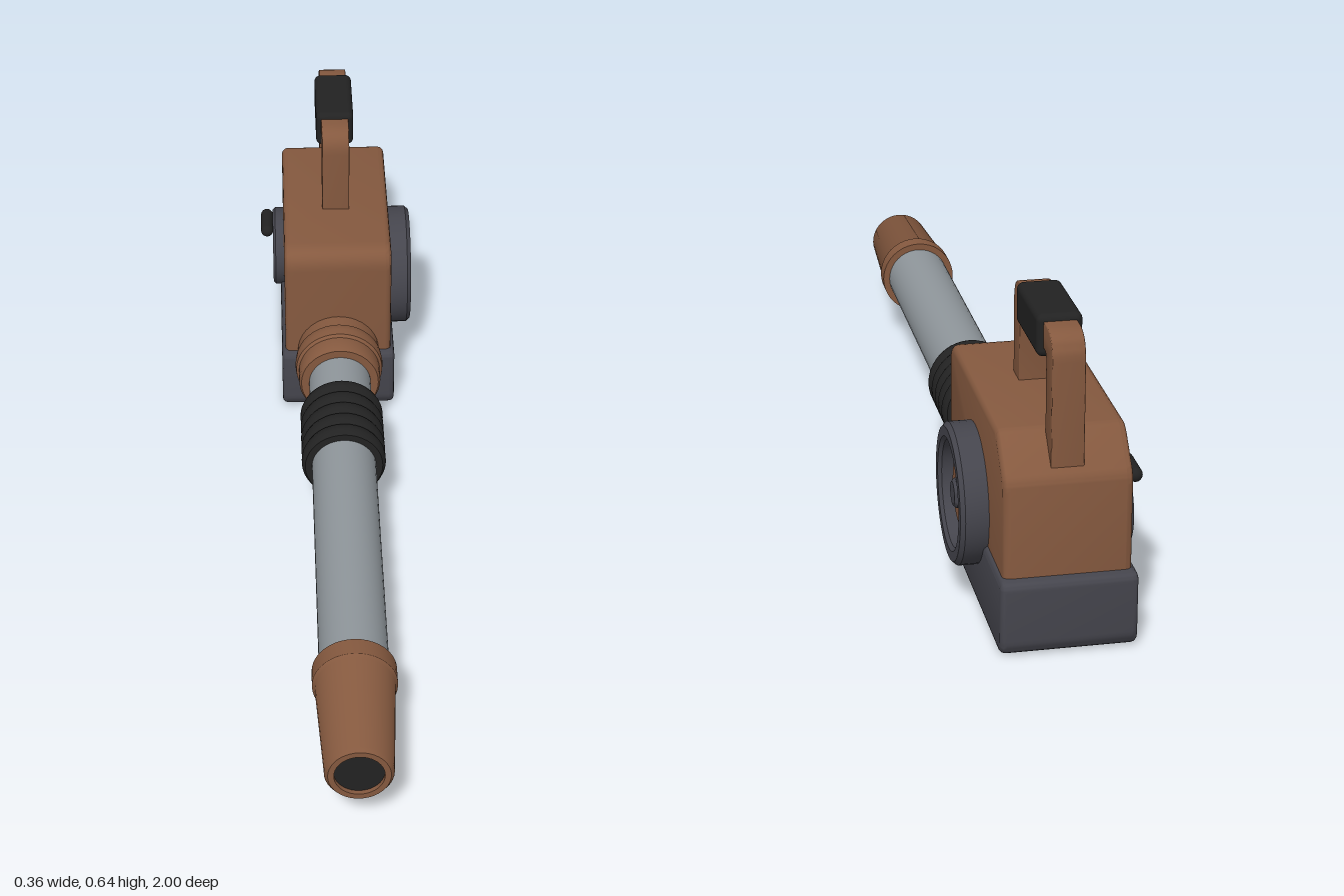
import * as THREE from 'three';
import { toCreasedNormals } from 'three/addons/utils/BufferGeometryUtils.js';
import { RoundedBoxGeometry } from 'three/addons/geometries/RoundedBoxGeometry.js';

const flat = (name, color) => Object.assign(new THREE.MeshStandardMaterial({ color }), { name });

export function createModel() {
  const brown = flat('brown plastic', 0x85593f);
  const slate = flat('dark slate', 0x45454d);
  const black = flat('black rubber', 0x222222);
  const steel = flat('light steel', 0x8f969b);

  const model = new THREE.Group();
  model.name = 'leafBlower';

  const add = (name, geometry, material, x = 0, y = 0, z = 0) => {
    const mesh = new THREE.Mesh(geometry, material);
    mesh.name = name;
    mesh.position.set(x, y, z);
    model.add(mesh);
    return mesh;
  };

  // Closed outline with rounded corners; each corner is [z, y, radius]
  const outline = (corners) => {
    const shape = new THREE.Shape();
    const n = corners.length;
    corners.forEach(([px, py, r], i) => {
      const p = new THREE.Vector2(px, py);
      const toward = (c) => new THREE.Vector2(c[0], c[1]).sub(p).setLength(r).add(p);
      const a = toward(corners[(i + n - 1) % n]);
      const b = toward(corners[(i + 1) % n]);
      if (i === 0) shape.moveTo(a.x, a.y);
      else shape.lineTo(a.x, a.y);
      if (r > 0) shape.quadraticCurveTo(px, py, b.x, b.y);
    });
    shape.closePath();
    return shape;
  };

  // Side outline (z, y) extruded across x, centred on x = 0
  const sideExtrude = (shape, width, bevel) => {
    const g = new THREE.ExtrudeGeometry(shape, {
      depth: width - 2 * bevel, bevelEnabled: bevel > 0, bevelSize: bevel,
      bevelThickness: bevel, bevelOffset: -bevel, bevelSegments: 3, curveSegments: 8,
    });
    g.translate(0, 0, bevel - width / 2).rotateY(-Math.PI / 2);
    return toCreasedNormals(g, 0.6);
  };

  // Turned profile of [radius, height] points, height rising
  const turned = (points) => toCreasedNormals(
    new THREE.LatheGeometry(points.map(([r, h]) => new THREE.Vector2(r, h)), 40), 0.6);
  const alongZ = (points) => turned(points).rotateX(Math.PI / 2);
  const alongX = (points) => turned(points).rotateZ(-Math.PI / 2);

  // Base and engine housing
  add('base', sideExtrude(outline([
    [-1, 0, 0.035], [-0.403, 0, 0.035], [-0.403, 0.155, 0.02], [-1, 0.155, 0.02],
  ]), 0.267, 0.012), slate);
  add('housing', sideExtrude(outline([
    [-0.977, 0.1, 0], [-0.42, 0.1, 0], [-0.42, 0.428, 0.05],
    [-0.905, 0.428, 0.02], [-0.977, 0.35, 0.02],
  ]), 0.25, 0.014), brown);

  // Carrying handle: an arch with a rubber grip
  const arch = outline([
    [-0.96, 0.36, 0], [-0.908, 0.36, 0], [-0.908, 0.578, 0.015], [-0.667, 0.578, 0.015],
    [-0.667, 0.40, 0], [-0.614, 0.40, 0], [-0.614, 0.631, 0.055], [-0.96, 0.631, 0.055],
  ]);
  add('handle', sideExtrude(arch, 0.064, 0.002), brown);
  add('grip', new RoundedBoxGeometry(0.088, 0.085, 0.198, 4, 0.014), black, 0, 0.601, -0.786);

  // Trigger under the front of the grip
  const triggerPath = new THREE.CatmullRomCurve3([
    new THREE.Vector3(0, 0.57, -0.694),
    new THREE.Vector3(0, 0.54, -0.687),
    new THREE.Vector3(0, 0.512, -0.682),
  ]);
  add('trigger', new THREE.TubeGeometry(triggerPath, 8, 0.011, 10), steel);
  add('triggerTip', new THREE.SphereGeometry(0.011, 10, 8), steel, 0, 0.512, -0.682);

  // Air intake on the left side
  const fanY = 0.2125, fanZ = -0.7;
  add('intakeRing', alongX([
    [0.142, 0.12], [0.142, 0.171], [0.134, 0.18], [0.114, 0.18], [0.107, 0.173], [0.107, 0.13],
  ]), slate, 0, fanY, fanZ);
  add('intakeRecess', alongX([[0.108, 0.12], [0.108, 0.145], [0, 0.145]]), black, 0, fanY, fanZ);
  add('intakeDisc', alongX([[0.072, 0.14], [0.072, 0.154], [0.067, 0.158], [0, 0.158]]), brown, 0, fanY, fanZ);
  add('intakeHub', alongX([[0.03, 0.15], [0.03, 0.165], [0.024, 0.171], [0, 0.171]]), slate, 0, fanY, fanZ);

  // Recoil starter and its pull on the right side
  const starter = alongX([[0.095, 0.115], [0.095, 0.145], [0.089, 0.151], [0, 0.151]]).rotateY(Math.PI);
  add('starterCover', starter, slate, 0, 0.2125, -0.79);
  add('starterPull', new THREE.CapsuleGeometry(0.015, 0.07, 6, 16).rotateX(Math.PI / 2),
    black, -0.165, 0.28, -0.79);

  // Blower tube, collar, ribbed coupling and nozzle share one axis
  const axisY = 0.155;
  add('collar', alongZ([
    [0.096, -0.45], [0.096, -0.386], [0.101, -0.38], [0.103, -0.36], [0.101, -0.342],
    [0.095, -0.336], [0.095, -0.296], [0.09, -0.288], [0.06, -0.288],
  ]), brown, 0, axisY);
  add('tube', alongZ([[0.072, -0.4], [0.072, 0.76]]), steel, 0, axisY);

  const ribs = [[0.06, -0.176], [0.086, -0.176]];
  const ribCount = 5, ribLength = 0.204 / ribCount;
  for (let i = 0; i < ribCount; i++) {
    for (const [t, r] of [[0.12, 0.091], [0.35, 0.0945], [0.65, 0.0945], [0.88, 0.091], [1, 0.087]]) {
      ribs.push([r, -0.176 + (i + t) * ribLength]);
    }
  }
  ribs.push([0.06, 0.028]);
  add('coupling', alongZ(ribs), black, 0, axisY);

  add('nozzle', alongZ([
    [0.06, 0.702], [0.087, 0.702], [0.087, 0.745], [0.082, 0.752], [0.069, 0.99],
    [0.062, 1], [0.05, 1], [0.05, 0.98],
  ]), brown, 0, axisY);
  add('nozzleOpening', new THREE.CircleGeometry(0.051, 40), black, 0, axisY, 0.99);

  return model;
}
